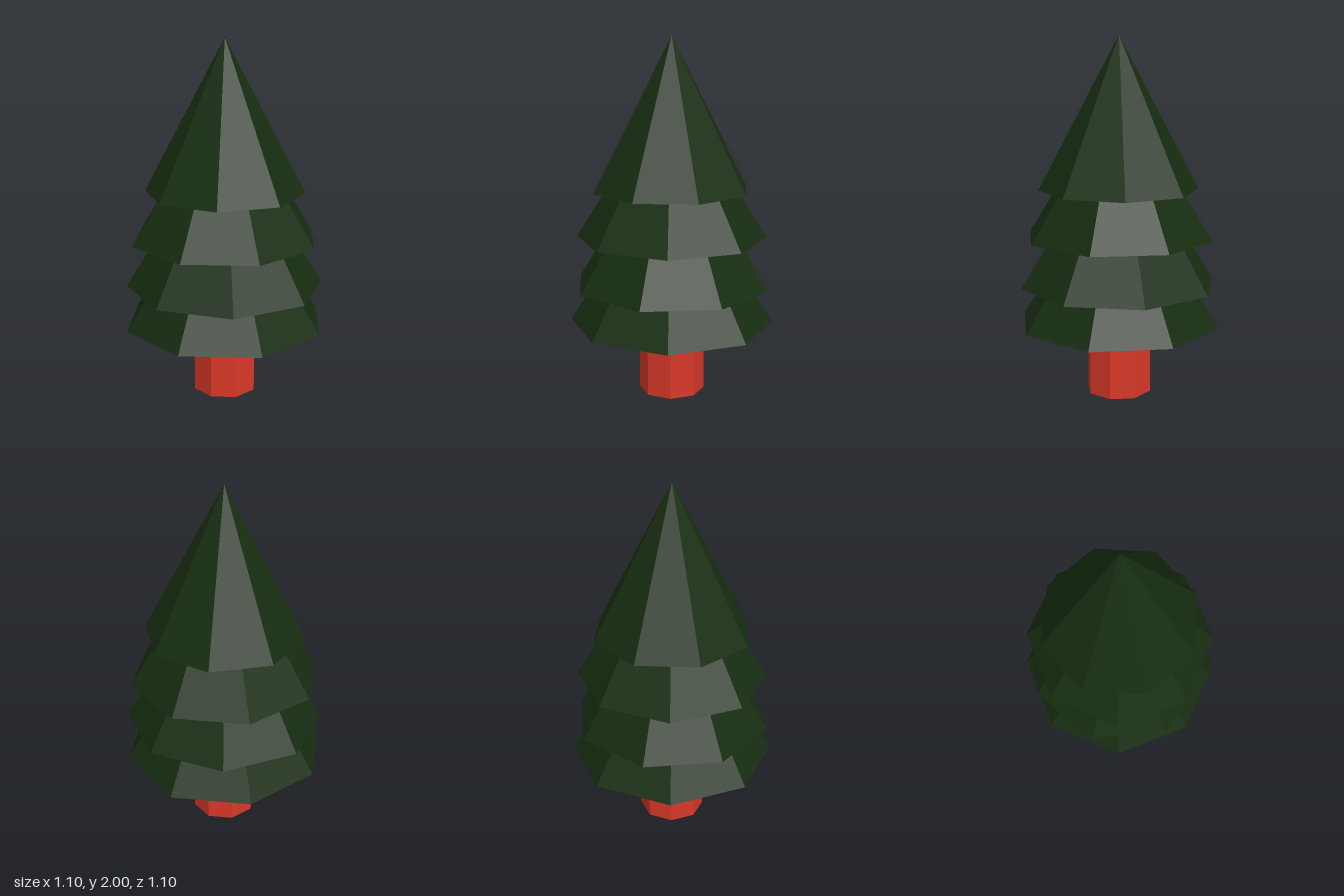
import * as THREE from 'three';

const SIDES = 8;

// Eight-sided cone or prism standing on height y, turned by an angle in degrees
function addPart(group, name, material, { y, top, radius, topRadius = 0, turn }) {
  const height = top - y;
  const geometry = new THREE.CylinderGeometry(topRadius, radius, height, SIDES);
  const mesh = new THREE.Mesh(geometry, material);
  mesh.name = name;
  mesh.position.y = y + height / 2;
  mesh.rotation.y = THREE.MathUtils.degToRad(turn);
  group.add(mesh);
}

export function createModel() {
  const tree = new THREE.Group();
  tree.name = 'pineTree';
  const bark = new THREE.MeshStandardMaterial({ color: 0xd83828, flatShading: true });
  const needles = new THREE.MeshStandardMaterial({ color: 0x172d11, flatShading: true });

  // Trunk, reaching just inside the lowest tier
  addPart(tree, 'trunk', bark, { y: 0, top: 0.42, radius: 0.184, topRadius: 0.184, turn: 22.5 });

  // Foliage: nested cones, each turned differently
  const tiers = [
    { y: 0.407, top: 1.3, radius: 0.574, turn: 22.5 },
    { y: 0.625, top: 1.52, radius: 0.555, turn: 7.3 },
    { y: 0.895, top: 1.73, radius: 0.532, turn: 22.2 },
    { y: 1.16, top: 2, radius: 0.446, turn: -2.5 },
  ];
  tiers.forEach((tier, i) => addPart(tree, `foliageTier${i + 1}`, needles, tier));

  return tree;
}
